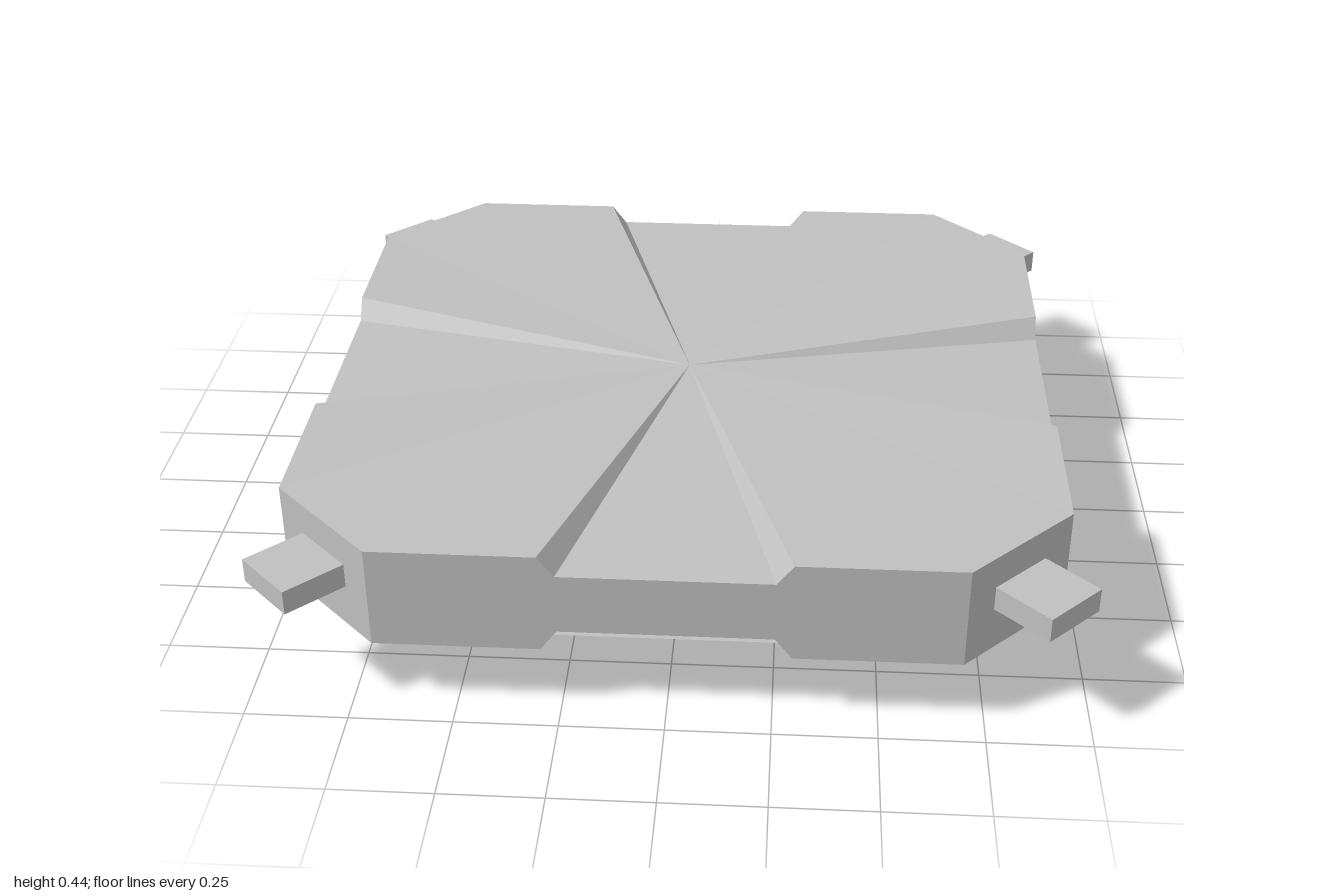
import * as THREE from 'three';

// Non-indexed geometry from a list of triangles (each three [x, y, z] corners)
function fromTriangles(tris) {
  const geo = new THREE.BufferGeometry();
  geo.setAttribute('position', new THREE.Float32BufferAttribute(tris.flat(2), 3));
  geo.computeVertexNormals();
  return geo;
}

// Repeats the points of the front edge on all four sides, running front, right, back, left
function aroundSquare(edge) {
  const ring = [];
  for (let side = 0; side < 4; side++) {
    for (const [x, z, ...rest] of edge) {
      let px = x, pz = z;
      for (let i = 0; i < side; i++) [px, pz] = [pz, -px];
      ring.push([px, pz, ...rest]);
    }
  }
  return ring;
}

// Chamfered slab: both faces fan to a slightly sunken centre, with a notch in each side
function slabGeometry() {
  const half = 0.942, top = 0.44, topNotch = 0.388, bottom = 0.18, bottomNotch = 0.233;
  const edge = [
    [-0.69, half, top, bottom],
    [-0.293, half, top, bottom],
    [-0.253, half, topNotch, bottomNotch],
    [0.253, half, topNotch, bottomNotch],
    [0.293, half, top, bottom],
    [0.69, half, top, bottom],
  ];
  const ring = aroundSquare(edge);
  const topCentre = [0, 0.42, 0], bottomCentre = [0, 0.2, 0];
  const tris = [];
  ring.forEach(([x, z, t, b], i) => {
    const [nx, nz, nt, nb] = ring[(i + 1) % ring.length];
    const a = [x, t, z], c = [nx, nt, nz], d = [x, b, z], e = [nx, nb, nz];
    tris.push([topCentre, a, c], [bottomCentre, e, d], [d, e, c], [d, c, a]);
  });
  return fromTriangles(tris);
}

// Hull: chamfered rim tapering down to a plain square base
function hullGeometry() {
  const rimY = 0.18, rim = 0.885, cut = 0.655, base = 0.41;
  const upper = aroundSquare([[-cut, rim], [cut, rim]]).map(([x, z]) => [x, rimY, z]);
  const lower = aroundSquare([[-base, base]]).map(([x, z]) => [x, 0, z]);
  const tris = [];
  for (let i = 0; i < 4; i++) {
    const a = upper[2 * i], b = upper[2 * i + 1], c = upper[(2 * i + 2) % 8];
    const d = lower[i], e = lower[(i + 1) % 4];
    tris.push([d, e, b], [d, b, a]); // sloping side
    tris.push([e, c, b]); // corner facet
    tris.push([[0, rimY, 0], a, b], [[0, rimY, 0], b, c]); // lid
    tris.push([[0, 0, 0], e, d]); // base
  }
  return fromTriangles(tris);
}

export function createModel() {
  const model = new THREE.Group();
  model.name = 'platform';
  const grey = new THREE.MeshStandardMaterial({ color: 0xc0c0c0 });
  grey.name = 'grey';

  const add = (name, geometry) => {
    const mesh = new THREE.Mesh(geometry, grey);
    mesh.name = name;
    model.add(mesh);
    return mesh;
  };

  add('slab', slabGeometry());
  add('hull', hullGeometry());

  // Corner pegs pointing out along the diagonals
  const inner = 1.1, outer = 1.319;
  ['frontLeft', 'backLeft', 'backRight', 'frontRight'].forEach((corner, i) => {
    const angle = Math.PI / 4 + (i * Math.PI) / 2;
    const peg = add(`${corner}Peg`, new THREE.BoxGeometry(0.175, 0.062, outer - inner));
    const mid = (inner + outer) / 2;
    peg.position.set(Math.sin(angle) * mid, 0.325, Math.cos(angle) * mid);
    peg.rotation.y = angle;
  });

  return model;
}
